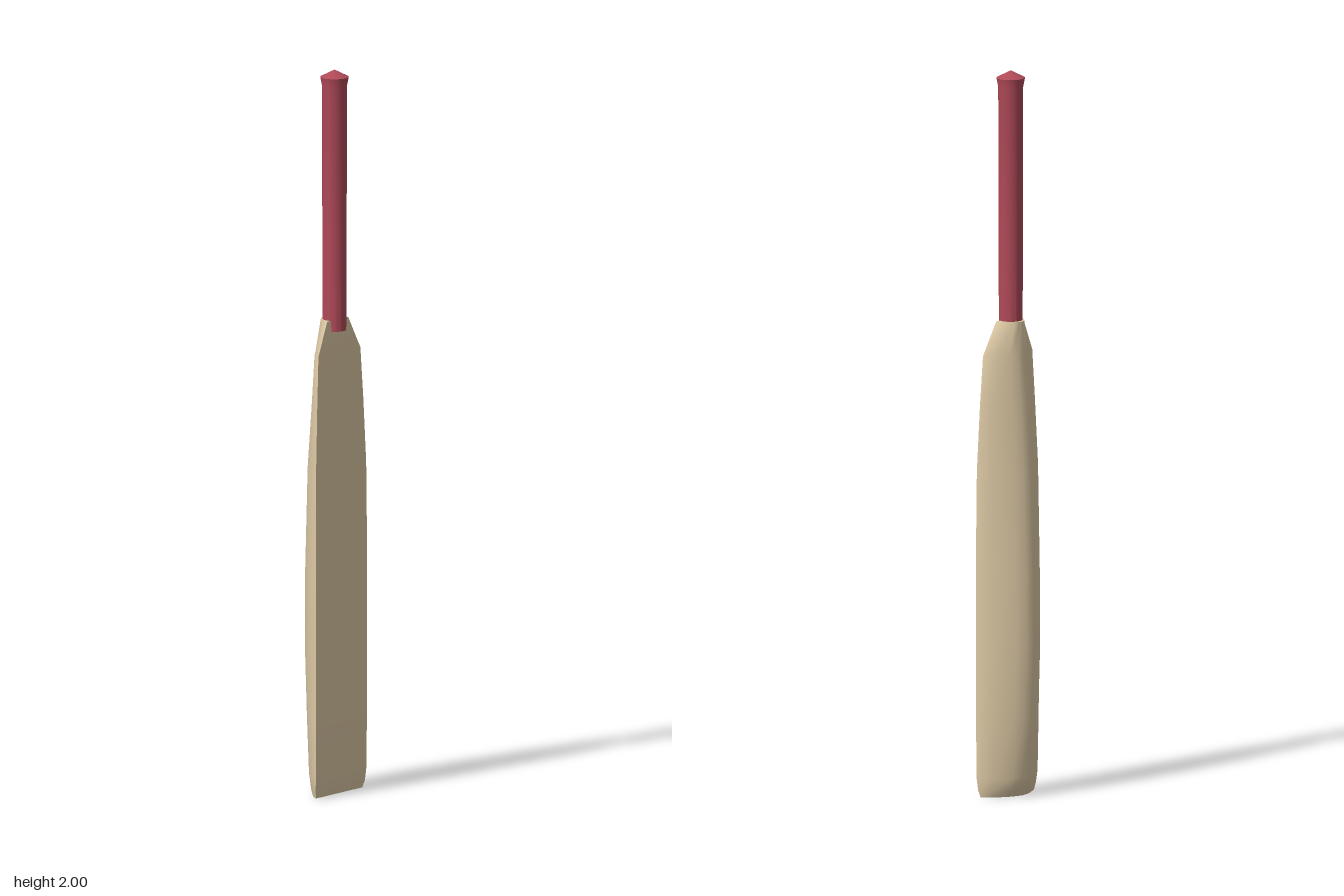
import * as THREE from 'three';
import { toCreasedNormals } from 'three/addons/utils/BufferGeometryUtils.js';

// Blade stations: height, half width, front z, back z
const stations = [
  [0, 0.102, 0.04, -0.02],
  [0.02, 0.108, 0.044, -0.032],
  [0.055, 0.111, 0.047, -0.045],
  [0.22, 0.112, 0.048, -0.054],
  [0.42, 0.112, 0.049, -0.063],
  [0.62, 0.112, 0.049, -0.061],
  [0.9, 0.11, 0.047, -0.051],
  [1.08, 0.101, 0.044, -0.036],
  [1.22, 0.092, 0.041, -0.024],
  [1.31, 0.046, 0.035, -0.018],
];

// Half section: fraction of half width, fraction of depth from the flat face
const half = [[1, 0], [1, 0.05], [0.8, 0.43], [0.42, 0.81], [0.2, 0.95]];
const section = [...half, [0, 1], ...half.map(([u, t]) => [-u, t]).reverse()];

function bladeGeometry() {
  const n = section.length;
  const positions = [];
  const index = [];
  for (const [y, w, front, back] of stations) {
    for (const [u, t] of section) positions.push(u * w, y, front + (back - front) * t);
  }
  // Skin between stations, including the flat striking face
  for (let r = 0; r < stations.length - 1; r++) {
    for (let i = 0; i < n; i++) {
      const a = r * n + i, b = r * n + (i + 1) % n;
      index.push(a, b, b + n, a, b + n, a + n);
    }
  }
  // Toe and shoulder caps
  const top = (stations.length - 1) * n;
  for (let i = 1; i < n - 1; i++) {
    index.push(0, i + 1, i);
    index.push(top, top + i, top + i + 1);
  }
  const geo = new THREE.BufferGeometry();
  geo.setAttribute('position', new THREE.Float32BufferAttribute(positions, 3));
  geo.setIndex(index);
  return toCreasedNormals(geo, 0.85);
}

export function createModel() {
  const group = new THREE.Group();
  group.name = 'cricketBat';

  const wood = new THREE.MeshStandardMaterial({ color: 0xdcc8a4 });
  wood.name = 'pale willow';
  const grip = new THREE.MeshStandardMaterial({ color: 0xb04a58 });
  grip.name = 'red grip';

  const blade = new THREE.Mesh(bladeGeometry(), wood);
  blade.name = 'blade';
  group.add(blade);

  // Round grip with a flared knob and shallow pointed top
  const profile = [
    [0, 1.28], [0.032, 1.28], [0.033, 1.45], [0.034, 1.955], [0.039, 1.98], [0, 2],
  ].map(([r, y]) => new THREE.Vector2(r, y));
  const handle = new THREE.Mesh(
    toCreasedNormals(new THREE.LatheGeometry(profile, 32), 0.6), grip);
  handle.name = 'handle';
  handle.position.z = 0.024;
  group.add(handle);

  return group;
}
